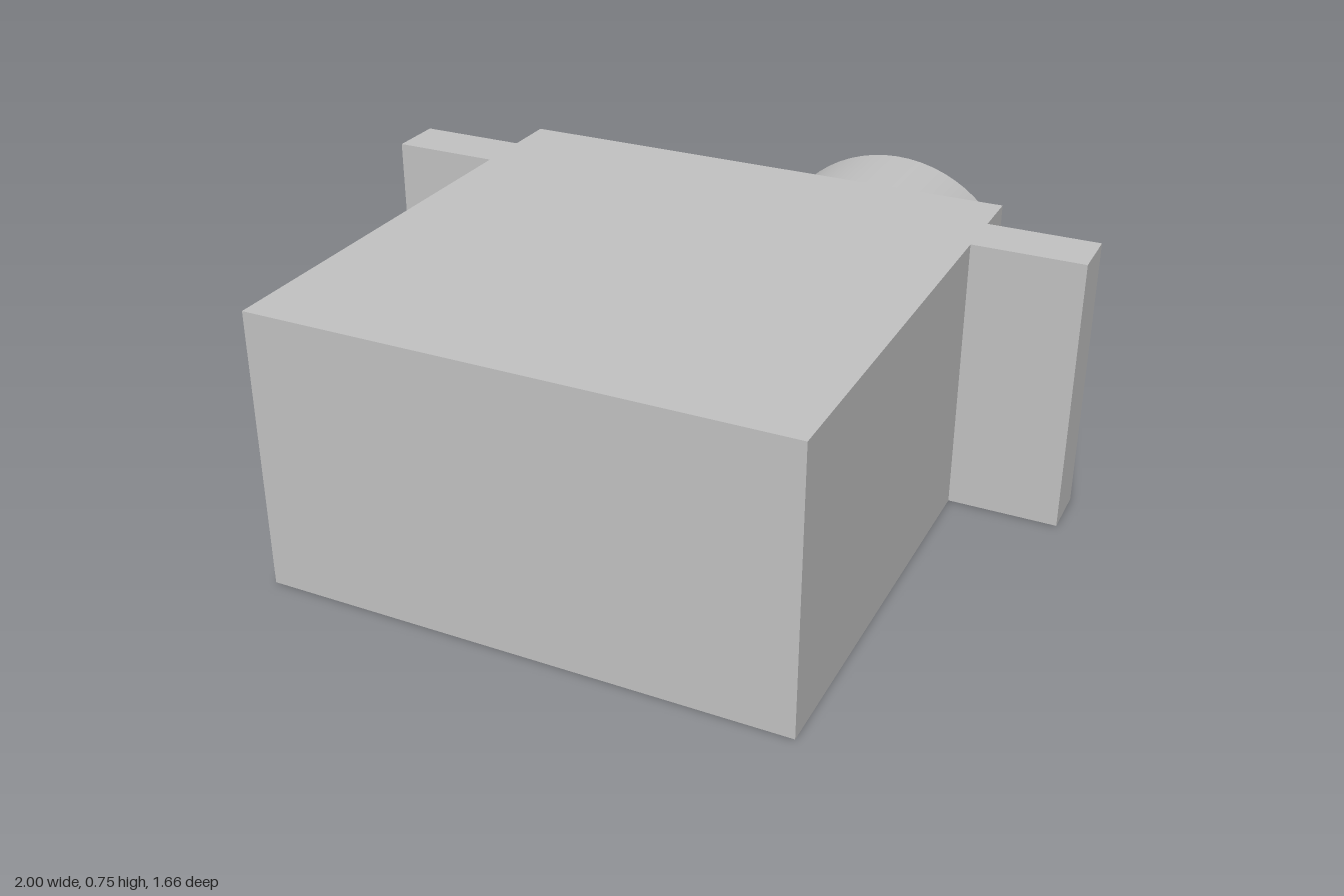
import * as THREE from 'three';

export function createModel() {
  const model = new THREE.Group();
  const grey = new THREE.MeshStandardMaterial({ color: 0xc0c0c0 });
  grey.name = 'grey';

  const height = 0.755;
  const backZ = -0.57;
  const add = (name, geometry) => {
    const mesh = new THREE.Mesh(geometry, grey);
    mesh.name = name;
    model.add(mesh);
    return mesh;
  };

  // Housing with its two side flanges, one outline (x, -z) extruded upward
  const half = [[0.703, -0.83], [0.703, 0.28], [1, 0.28], [1, 0.43], [0.703, 0.43], [0.703, 0.57]];
  const mirrored = half.map(([x, y]) => [-x, y]).reverse();
  const outline = new THREE.Shape([...half, ...mirrored].map(([x, y]) => new THREE.Vector2(x, y)));
  const housing = new THREE.ExtrudeGeometry(outline, { depth: height, bevelEnabled: false });
  housing.rotateX(-Math.PI / 2);
  add('housing', housing);

  // Round bosses on the back face, sunk slightly into the housing
  const addBoss = (name, x, radius, endZ) => {
    const sink = 0.02;
    const depth = backZ - endZ + sink;
    const geometry = new THREE.CylinderGeometry(radius, radius, depth, 64);
    geometry.rotateX(Math.PI / 2);
    add(name, geometry).position.set(x, height / 2, endZ + depth / 2);
  };
  addBoss('largeBoss', 0.32, 0.368, -0.83);
  addBoss('smallBoss', -0.063, 0.182, -0.775);

  return model;
}
